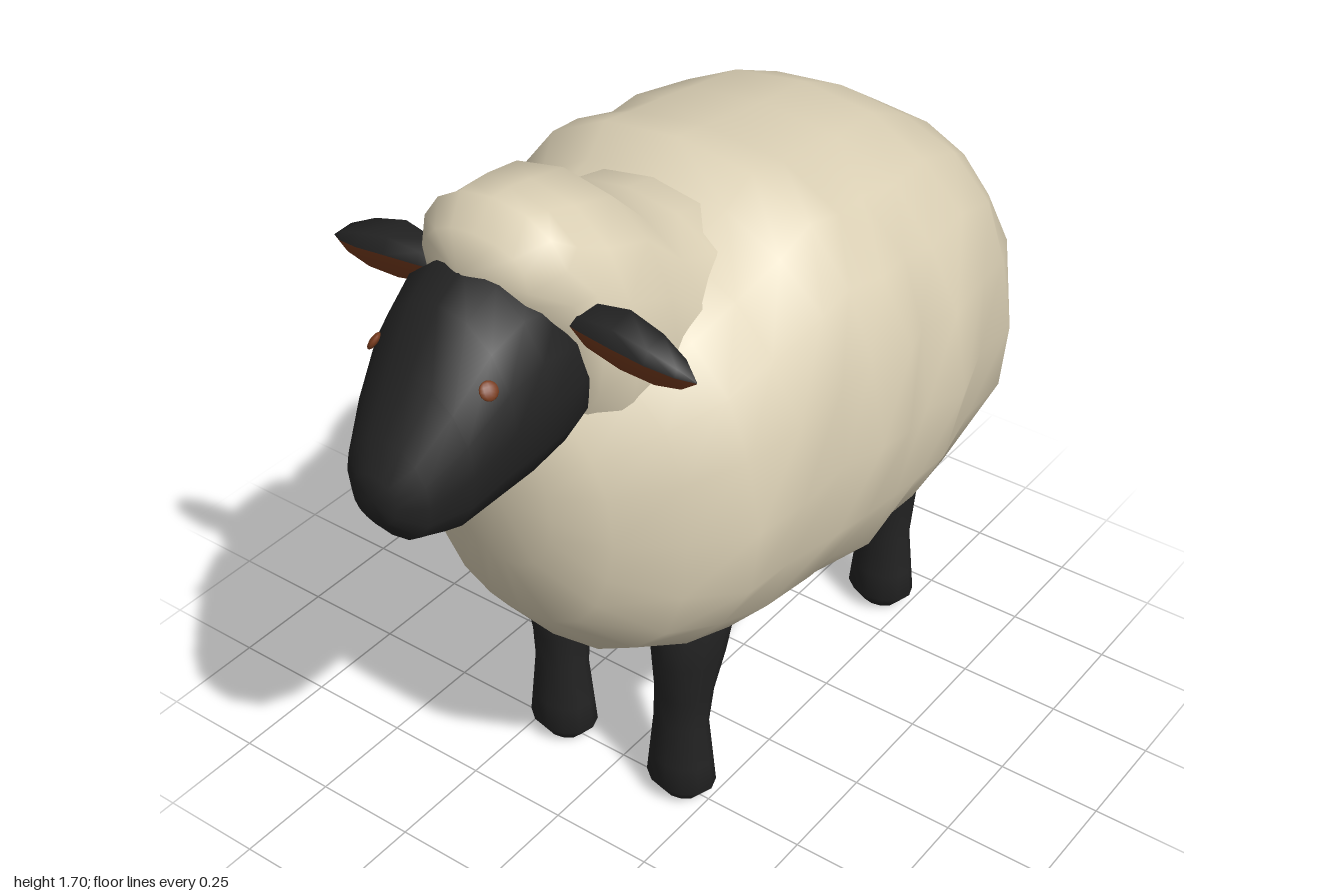
import * as THREE from 'three';
import { mergeVertices } from 'three/addons/utils/BufferGeometryUtils.js';

const wool = new THREE.MeshStandardMaterial({ color: 0xdbd0b5 });
wool.name = 'cream wool';
const skin = new THREE.MeshStandardMaterial({ color: 0x232323 });
skin.name = 'black skin';
const brown = new THREE.MeshStandardMaterial({ color: 0x7a3d1f });
brown.name = 'brown';

// Surface from points and triangles, smooth where corners meet
function surface(points, index) {
  const geometry = new THREE.BufferGeometry();
  geometry.setAttribute('position', new THREE.Float32BufferAttribute(points, 3));
  geometry.setIndex(index);
  const merged = mergeVertices(geometry);
  merged.computeVertexNormals();
  return merged;
}

// Loft along z from sections [z, halfWidth, bottom, top, centreX];
// upper and lower are roundness powers, below 1 is squarer
function loft(sections, n, { upper = 1, lower = 1, lumps = 0 } = {}) {
  const soften = (v, p) => Math.sign(v) * Math.abs(v) ** p;
  const points = [], index = [];
  sections.forEach(([z, w, lo, hi, cx = 0], i) => {
    for (let j = 0; j < n; j++) {
      const t = (j / n) * Math.PI * 2;
      const p = Math.sin(t) > 0 ? upper : lower;
      const k = 1 + lumps * Math.sin(i * 2.3 + j * 1.9) * Math.abs(Math.cos(t));
      points.push(
        cx + w * k * soften(Math.cos(t), p),
        (lo + hi) / 2 + (hi - lo) / 2 * k * soften(Math.sin(t), p),
        z,
      );
      if (i < sections.length - 1) {
        const a = i * n + j, b = i * n + (j + 1) % n;
        index.push(a, b, a + n, b, b + n, a + n);
      }
    }
  });
  return surface(points, index);
}

function named(name, geometry, material) {
  const mesh = new THREE.Mesh(geometry, material);
  mesh.name = name;
  return mesh;
}

// Leg standing on the ground, thick at the top and flared at the hoof
function leg(name, side, z, lift) {
  const rows = [
    [0.005, 0, 0], [0.008, 0.05, 0.04], [0.05, 0.087, 0.068], [0.12, 0.08, 0.062],
    [0.23, 0.068, 0.055], [0.32, 0.07, 0.066], [0.43, 0.083, 0.092],
    [0.54, 0.092, 0.106], [0.6, 0.075, 0.085], [0.65, 0, 0],
  ];
  const geometry = loft(rows.map(([y, rx, rz]) => {
    const lean = Math.max(0, y - 0.25);
    const back = lean * 0.08;
    return [y + (y > 0.3 ? lift : 0), rx, back - rz, back + rz, side * (0.175 + lean * 0.05)];
  }), 12);
  geometry.rotateX(-Math.PI / 2);
  geometry.translate(0, 0, z);
  return named(name, geometry, skin);
}

// Leaf-shaped ear: dark outside, brown hollow underneath
function ear(name, side) {
  const group = new THREE.Group();
  group.name = name;
  const rows = [
    [0.14, 1.475, 0.35], [0.2, 1.475, 0.75], [0.28, 1.472, 1],
    [0.36, 1.46, 0.85], [0.42, 1.452, 0.5], [0.455, 1.448, 0.02],
  ];
  // Corner offsets [z, y]: front rim, crown, back, rear rim, hollow
  const corners = [[0.045, 0.012], [0.03, 0.044], [-0.03, 0.056], [-0.055, 0.0], [-0.04, -0.045], [0.005, -0.06]];
  const strip = (ids) => {
    const index = [], points = [], m = ids.length;
    rows.forEach(([x, y, s]) => ids.forEach((id) => {
      const [dz, dy] = corners[id];
      points.push(side * x, y + dy * s, 0.585 + dz * s);
    }));
    for (let i = 0; i < rows.length - 1; i++) {
      for (let j = 0; j < m - 1; j++) {
        const a = i * m + j, b = a + 1, c = a + m, d = c + 1;
        if (side > 0) index.push(a, c, b, b, c, d);
        else index.push(a, b, c, b, d, c);
      }
    }
    return surface(points, index);
  };
  group.add(named('earOuter', strip([0, 1, 2, 3]), skin));
  group.add(named('earInner', strip([3, 4, 5, 0]), brown));
  return group;
}

export function createModel() {
  const model = new THREE.Group();
  model.name = 'sheep';

  // Fleece, from rump to chest
  model.add(named('body', loft([
    [-1.0, 0, 0.9, 0.9], [-0.93, 0.14, 0.66, 1.06], [-0.86, 0.26, 0.6, 1.2],
    [-0.76, 0.385, 0.545, 1.33], [-0.6, 0.48, 0.49, 1.435], [-0.44, 0.505, 0.455, 1.51],
    [-0.28, 0.54, 0.44, 1.525], [-0.17, 0.525, 0.44, 1.545], [-0.07, 0.545, 0.443, 1.56],
    [0.03, 0.525, 0.447, 1.575], [0.1, 0.495, 0.45, 1.52], [0.25, 0.485, 0.47, 1.485],
    [0.38, 0.46, 0.505, 1.44], [0.49, 0.37, 0.55, 1.37], [0.59, 0.25, 0.68, 1.27],
    [0.635, 0.13, 0.85, 1.17], [0.65, 0, 1.03, 1.03],
  ], 20, { upper: 0.87, lower: 0.92, lumps: 0.02 }), wool));

  // Neck wool and topknot, blending into the shoulders
  model.add(named('neckWool', loft([
    [-0.1, 0, 1.25, 1.25], [0.0, 0.2, 1.0, 1.46], [0.1, 0.29, 0.97, 1.515],
    [0.2, 0.3, 0.95, 1.535], [0.3, 0.29, 0.95, 1.57], [0.4, 0.28, 0.98, 1.67],
    [0.5, 0.255, 1.03, 1.69], [0.56, 0.22, 1.13, 1.7], [0.61, 0.19, 1.36, 1.7],
    [0.67, 0.13, 1.48, 1.65], [0.72, 0, 1.58, 1.58],
  ], 16, { upper: 0.9 }), wool));

  // Head, tapering to the muzzle, fuller at the jaw than the brow
  model.add(named('head', loft([
    [0.45, 0, 1.33, 1.33], [0.5, 0.17, 1.18, 1.48], [0.6, 0.2, 1.14, 1.57],
    [0.7, 0.202, 1.12, 1.595], [0.78, 0.18, 1.105, 1.55], [0.87, 0.148, 1.09, 1.44],
    [0.95, 0.105, 1.115, 1.335], [0.99, 0.055, 1.17, 1.28], [1.0, 0, 1.23, 1.23],
  ], 16, { lower: 0.9 }), skin));

  for (const side of [1, -1]) {
    const label = side > 0 ? 'left' : 'right';
    model.add(ear(label + 'Ear', side));

    // Small flat eye lying against the cheek
    const eye = named(label + 'Eye', new THREE.SphereGeometry(0.02, 10, 8), brown);
    eye.scale.set(0.4, 1, 1);
    eye.position.set(side * 0.143, 1.43, 0.81);
    eye.rotation.set(0, -side * 0.4, side * 0.6);
    model.add(eye);

    model.add(leg(label + 'FrontLeg', side, 0.255, 0));
    model.add(leg(label + 'BackLeg', side, -0.615, 0.03));
  }
  return model;
}
